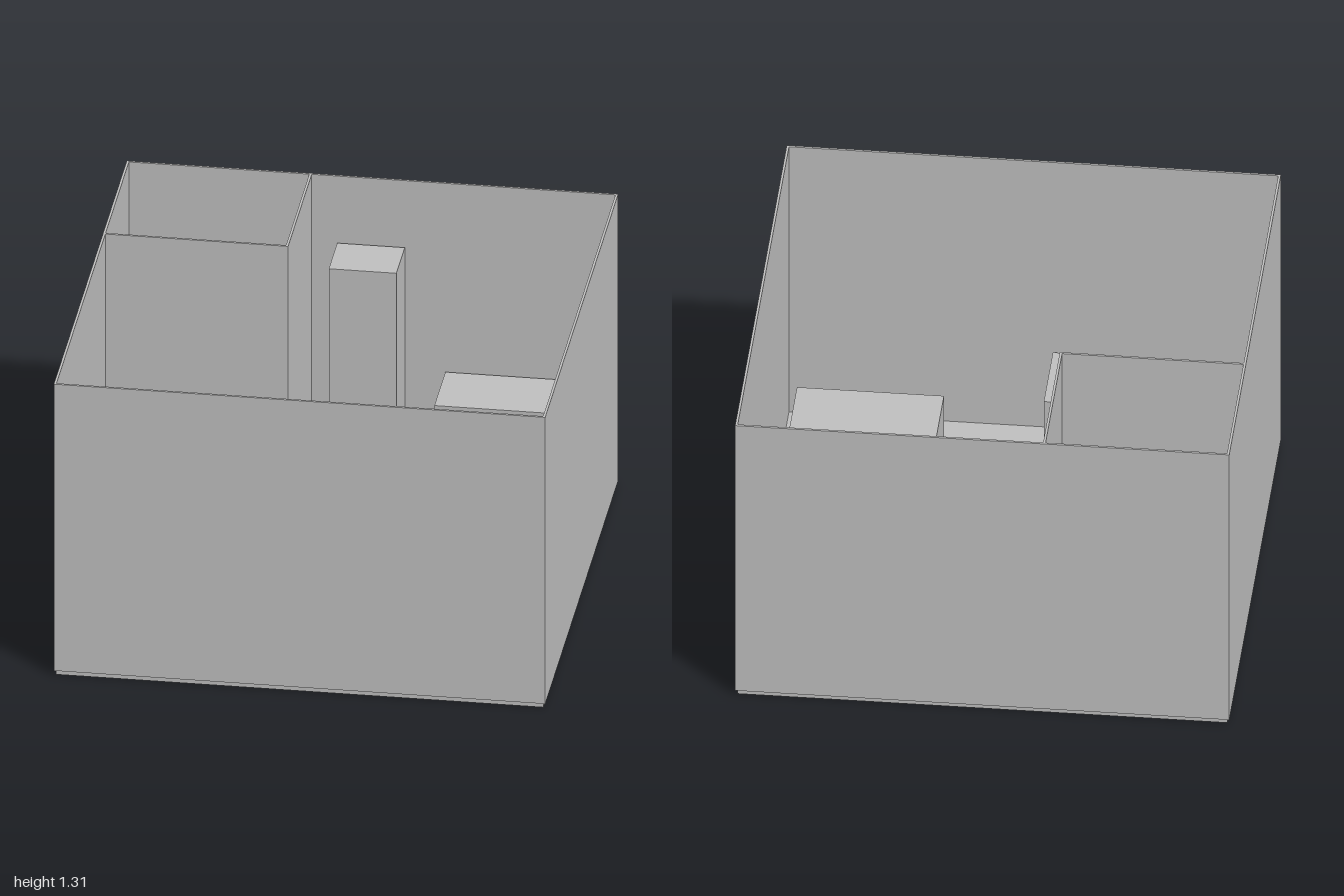
import * as THREE from 'three';

export function createModel() {
  const group = new THREE.Group();
  const grey = new THREE.MeshStandardMaterial({ color: 0xbfbfbf });
  grey.name = 'plain grey';

  const FLOOR = 0.02, TOP = 1.315, T = 0.01;

  // Axis-aligned block given by its extents
  function block(name, x0, x1, z0, z1, y1, y0 = FLOOR) {
    const mesh = new THREE.Mesh(new THREE.BoxGeometry(x1 - x0, y1 - y0, z1 - z0), grey);
    mesh.position.set((x0 + x1) / 2, (y0 + y1) / 2, (z0 + z1) / 2);
    mesh.name = name;
    group.add(mesh);
  }

  // Floor slab, slightly inset from the walls
  block('floor', -0.992, 0.992, -0.992, 0.992, FLOOR, 0);

  // Outer walls as one open ring
  const plan = new THREE.Shape([[-1, -1], [1, -1], [1, 1], [-1, 1]].map(p => new THREE.Vector2(...p)));
  const r = 1 - T;
  plan.holes.push(new THREE.Path([[-r, -r], [-r, r], [r, r], [r, -r]].map(p => new THREE.Vector2(...p))));
  const ring = new THREE.ExtrudeGeometry(plan, { depth: TOP - FLOOR, bevelEnabled: false });
  ring.rotateX(-Math.PI / 2).translate(0, FLOOR, 0);
  const walls = new THREE.Mesh(ring, grey);
  walls.name = 'outerWalls';
  group.add(walls);

  // Bathroom partitions
  block('partitionSide', -0.256, -0.246, -r, -0.345, TOP);
  block('partitionFront', -r, -0.256, -0.355, -0.345, TOP);

  // Bathroom fixtures
  block('showerTray', -0.945, -0.6, -0.985, -0.64, 0.08);
  block('washBasin', -0.485, -0.29, -0.945, -0.75, 0.44);
  block('toilet', -0.645, -0.45, -0.625, -0.38, 0.24);

  // Kitchen
  block('refrigerator', -0.14, 0.135, -0.975, -0.745, 1.02);
  block('kitchenCounter', 0.3, 0.94, -0.975, -0.675, 0.47);

  // Living and sleeping area
  block('desk', -0.97, -0.665, -0.3, 0.295, 0.4);
  block('deskChair', -0.82, -0.625, -0.15, 0.05, 0.25);
  block('lowTable', -0.485, -0.22, -0.1, 0.1, 0.24);
  block('sofa', -0.87, -0.08, 0.62, 0.97, 0.4);
  block('bed', 0.345, 0.94, -0.18, 0.82, 0.26);

  return group;
}
